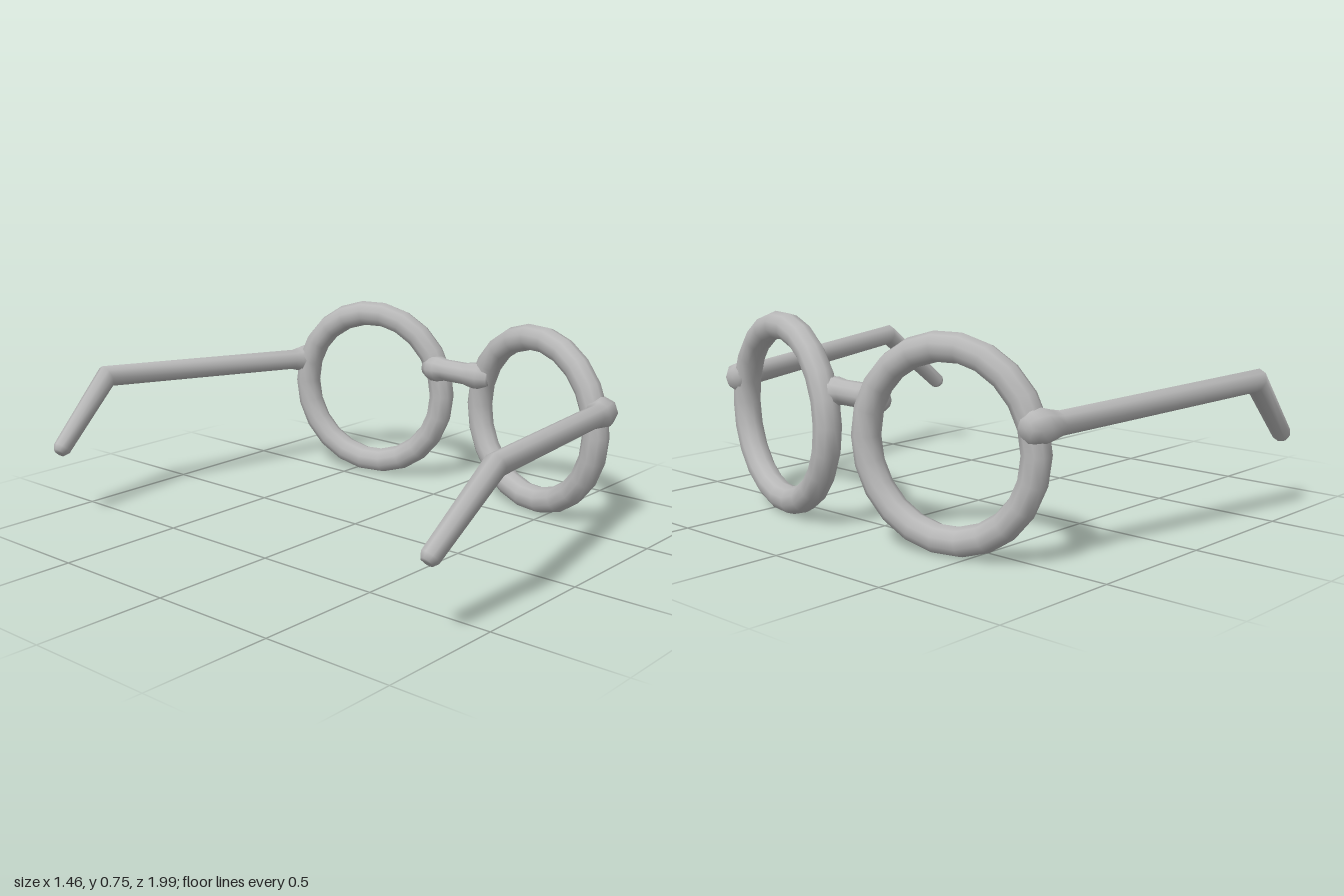
import * as THREE from 'three';

// Closed tube through [x, y, z, radius] stations, mitred at every bend
function taperedTube(stations, ref, sides) {
  const pts = stations.map(([x, y, z]) => new THREE.Vector3(x, y, z));
  const n = pts.length;
  const dirs = pts.slice(1).map((p, i) => p.clone().sub(pts[i]).normalize());
  const pos = [];
  const index = [];
  for (let i = 0; i < n; i++) {
    const d = dirs[Math.max(i - 1, 0)];
    const normal = d.clone().add(dirs[Math.min(i, n - 2)]);
    const u = new THREE.Vector3().crossVectors(ref, d).normalize();
    const v = new THREE.Vector3().crossVectors(d, u);
    for (let j = 0; j < sides; j++) {
      const a = (j / sides) * Math.PI * 2;
      const o = u.clone().multiplyScalar(Math.cos(a)).addScaledVector(v, Math.sin(a));
      o.addScaledVector(d, -o.dot(normal) / d.dot(normal));
      o.multiplyScalar(stations[i][3]).add(pts[i]);
      pos.push(o.x, o.y, o.z);
    }
  }
  for (let i = 0; i < n - 1; i++) {
    for (let j = 0; j < sides; j++) {
      const k = (j + 1) % sides;
      const a = i * sides + j, b = i * sides + k;
      index.push(a, b, b + sides, a, b + sides, a + sides);
    }
  }
  // End caps
  const start = n * sides, last = (n - 1) * sides;
  pos.push(...pts[0].toArray(), ...pts[n - 1].toArray());
  for (let j = 0; j < sides; j++) {
    const k = (j + 1) % sides;
    index.push(start, k, j, start + 1, last + j, last + k);
  }
  const geo = new THREE.BufferGeometry();
  geo.setAttribute('position', new THREE.Float32BufferAttribute(pos, 3));
  geo.setIndex(index);
  geo.computeVertexNormals();
  return geo;
}

export function createModel() {
  const group = new THREE.Group();
  group.name = 'spectacles';
  const frame = new THREE.MeshStandardMaterial({ color: 0xb8b8b8 });
  frame.name = 'frame grey';

  const add = (name, geo) => {
    const mesh = new THREE.Mesh(geo, frame);
    mesh.name = name;
    group.add(mesh);
    return mesh;
  };

  const wrap = 0.22; // backward sweep of each rim
  const zAxis = new THREE.Vector3(0, 0, 1);
  const yAxis = new THREE.Vector3(0, 1, 0);

  for (const s of [1, -1]) {
    const side = s > 0 ? 'right' : 'left';

    // Round rim
    const rim = add(side + 'Rim', new THREE.TorusGeometry(0.328, 0.052, 10, 22));
    rim.position.set(0.605, 0.38, s * 0.42);
    rim.rotation.y = -s * (Math.PI / 2 + wrap);

    // Temple arm: swollen hinge, long arm, dropped ear hook
    const arm = [
      [0.597, 0.475, 0.745, 0.035],
      [0.575, 0.475, 0.748, 0.055],
      [0.53, 0.475, 0.755, 0.062],
      [0.495, 0.476, 0.765, 0.052],
      [0.46, 0.478, 0.772, 0.043],
      [-0.43, 0.528, 0.952, 0.042],
      [-0.7, 0.29, 0.91, 0.035],
      [-0.715, 0.277, 0.908, 0.024],
    ];
    add(side + 'Temple', taperedTube(arm.map(([x, y, z, r]) => [x, y, s * z, r]), zAxis, 8));
  }

  // Bridge flaring into both rims
  const half = [
    [0.65, 0.5, 0.16, 0.035],
    [0.645, 0.502, 0.12, 0.055],
    [0.64, 0.504, 0.085, 0.053],
    [0.637, 0.505, 0.05, 0.045],
  ];
  const mirrored = half.map(([x, y, z, r]) => [x, y, -z, r]).reverse();
  add('bridge', taperedTube([...half, ...mirrored], yAxis, 10));

  return group;
}
